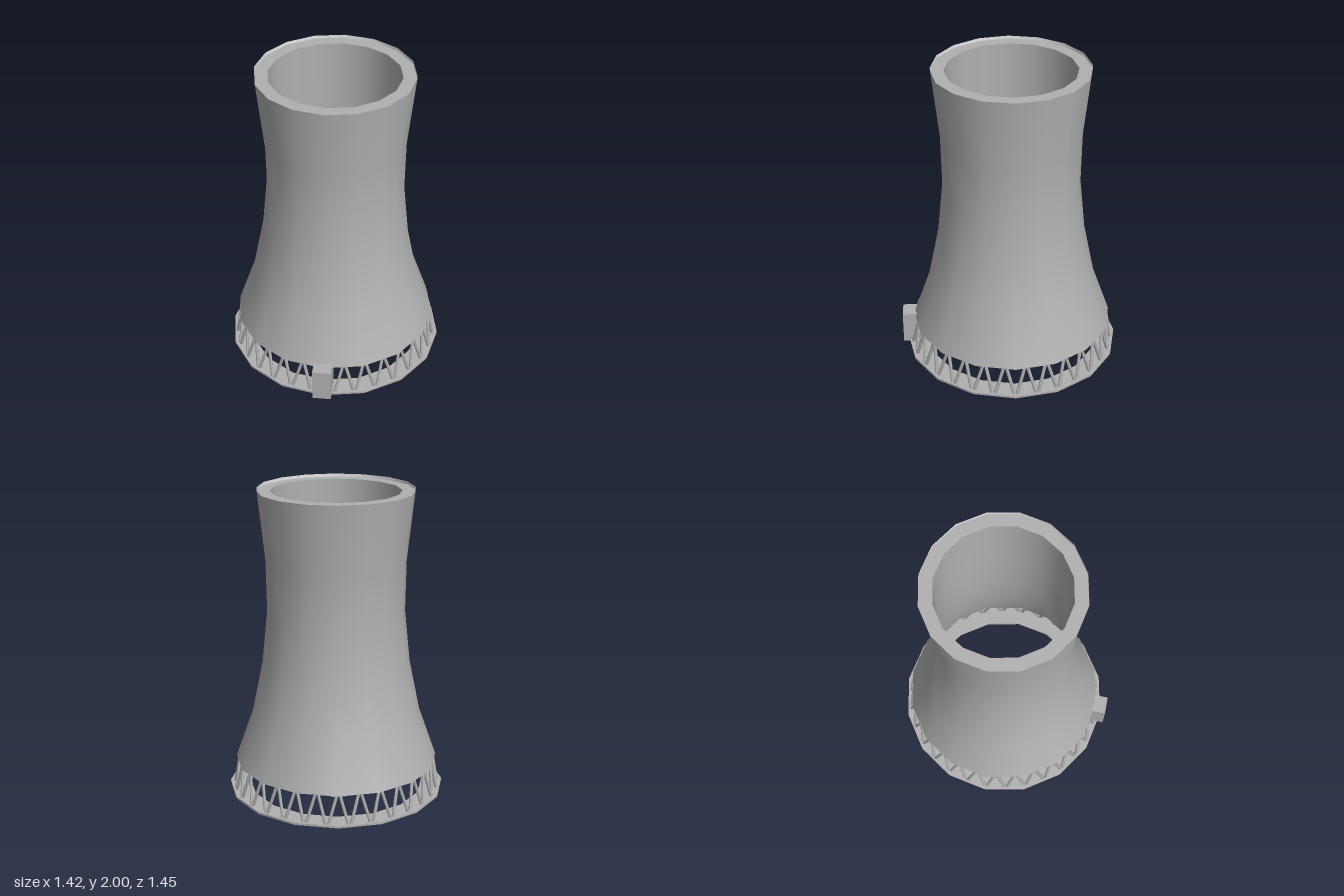
import * as THREE from 'three';

const SIDES = 16;
const CENTRE_Z = -0.015;

export function createModel() {
  const model = new THREE.Group();
  const concrete = new THREE.MeshStandardMaterial({ color: 0xb0b0b0 });
  concrete.name = 'concrete grey';
  const white = new THREE.MeshStandardMaterial({ color: 0xffffff });
  white.name = 'rim white';

  const tower = new THREE.Group();
  tower.name = 'tower';
  tower.position.z = CENTRE_Z;
  model.add(tower);

  const add = (parent, name, geometry, material = concrete) => {
    const mesh = new THREE.Mesh(geometry, material);
    mesh.name = name;
    parent.add(mesh);
    return mesh;
  };
  // Rising profiles face outward, falling ones face the axis
  const lathe = (points) =>
    new THREE.LatheGeometry(points.map(([r, y]) => new THREE.Vector2(r, y)), SIDES);

  // Waisted shell: outer skin, inner skin, flat top and bottom edges
  add(tower, 'shellOuter', lathe([
    [0.665, 0.195], [0.55, 0.52], [0.48, 0.86], [0.445, 1.2], [0.45, 1.53], [0.498, 1.98],
  ]));
  add(tower, 'shellInner', lathe([
    [0.415, 1.98], [0.413, 1.53], [0.41, 1.2], [0.445, 0.86], [0.515, 0.52], [0.63, 0.195],
  ]));
  add(tower, 'shellTop', lathe([[0.498, 1.98], [0.415, 1.98]]));
  add(tower, 'shellBottom', lathe([[0.63, 0.195], [0.665, 0.195]]));

  // Thin parapet facing the axis
  add(tower, 'parapet', lathe([[0.498, 2], [0.498, 1.98]]), white);

  // Flat foundation ring
  const ring = [[0.575, 0], [0.71, 0], [0.71, 0.014], [0.575, 0.014], [0.575, 0]];
  const foundation = new THREE.Group();
  foundation.name = 'foundation';
  tower.add(foundation);
  for (let i = 0; i < 4; i++) add(foundation, 'foundationFace', lathe([ring[i], ring[i + 1]]));

  // Zigzag of slanted legs, two from each foot
  const legs = new THREE.Group();
  legs.name = 'legs';
  tower.add(legs);
  const COUNT = 30;
  const at = (r, y, turn) => {
    const a = (turn / COUNT) * Math.PI * 2;
    return new THREE.Vector3(Math.sin(a) * r, y, Math.cos(a) * r);
  };
  for (let i = 0; i < COUNT; i++) {
    for (const side of [-1, 1]) {
      const foot = at(0.677, 0.008, i + 0.5 + side * 0.06);
      const head = at(0.645, 0.2, i + 0.5 + side * 0.44);
      const span = head.clone().sub(foot);
      const leg = add(legs, 'leg', new THREE.CylinderGeometry(0.011, 0.011, span.length(), 6));
      leg.position.copy(foot).addScaledVector(span, 0.5);
      leg.quaternion.setFromUnitVectors(new THREE.Vector3(0, 1, 0), span.normalize());
    }
  }

  // Entrance block at the front
  const entrance = add(model, 'entrance', new THREE.BoxGeometry(0.12, 0.22, 0.165));
  entrance.position.set(0, 0.11, 0.6425);

  // Small platform inside at the back
  const platform = add(model, 'platform', new THREE.BoxGeometry(0.09, 0.03, 0.17));
  platform.position.set(0, 0.163, -0.497);

  return model;
}
